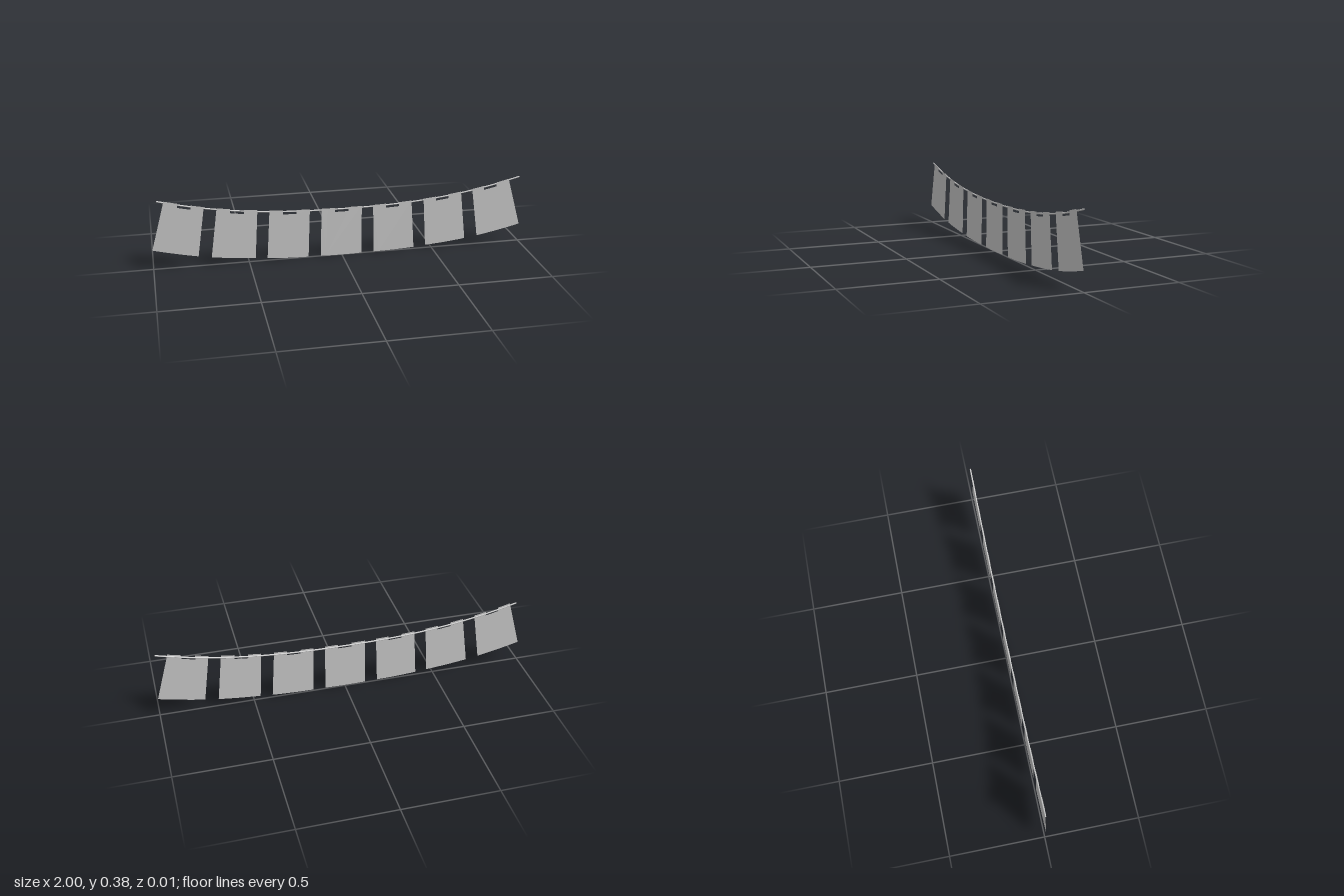
import * as THREE from 'three';

// Height of the sagging cord at x
const cordY = (x) => 0.262 + 0.111 * Math.pow(Math.abs(x - 0.01) / 0.97, 2.4);

// Flag corners: top left x, top right x, bottom left x/y, bottom right x/y
const FLAGS = [
  [-0.927, -0.725, -1.0, 0.108, -0.765, 0.055],
  [-0.66, -0.449, -0.697, 0.044, -0.466, 0.019],
  [-0.386, -0.172, -0.403, 0.013, -0.182, 0.003],
  [-0.11, 0.108, -0.115, 0.002, 0.108, 0.002],
  [0.17, 0.381, 0.175, 0.003, 0.399, 0.011],
  [0.448, 0.657, 0.464, 0.017, 0.688, 0.039],
  [0.72, 0.925, 0.758, 0.049, 1.0, 0.1],
];

// Cloth panel in front of the cord, with two tabs either side of a notch
function makeFlag([tl, tr, blx, bly, brx, bry], material) {
  const shape = new THREE.Shape();
  shape.moveTo(blx, bly);
  shape.quadraticCurveTo((blx + brx) / 2, (bly + bry) / 2 - 0.004, brx, bry);
  const top = (t, offset) => {
    const x = tl + (tr - tl) * t;
    shape.lineTo(x, cordY(x) + offset);
  };
  const tabTop = 0.009, notch = -0.014;
  for (const t of [1, 0.84, 0.67]) top(t, tabTop);
  for (const t of [0.67, 0.5, 0.33]) top(t, notch);
  for (const t of [0.33, 0.16, 0]) top(t, tabTop);
  shape.closePath();
  const flag = new THREE.Mesh(new THREE.ShapeGeometry(shape, 8), material);
  flag.position.z = 0.004;
  return flag;
}

export function createModel() {
  const group = new THREE.Group();
  group.name = 'bunting';
  const cordMaterial = new THREE.MeshStandardMaterial({ color: 0xcccccc });
  const clothMaterial = new THREE.MeshStandardMaterial({ color: 0xcccccc, side: THREE.DoubleSide });

  // Cord
  const points = [];
  for (let i = 0; i <= 16; i++) {
    const x = -0.96 + (1.945 * i) / 16;
    points.push(new THREE.Vector3(x, cordY(x), -0.001));
  }
  const curve = new THREE.CatmullRomCurve3(points);
  const cord = new THREE.Mesh(new THREE.TubeGeometry(curve, 48, 0.004, 8), cordMaterial);
  cord.name = 'cord';
  group.add(cord);

  // Cord end caps
  for (const [t, name] of [[0, 'cordEndRight'], [1, 'cordEndLeft']]) {
    const cap = new THREE.Mesh(new THREE.SphereGeometry(0.004, 8, 6), cordMaterial);
    cap.position.copy(curve.getPoint(t));
    cap.name = name;
    group.add(cap);
  }

  // Row of flags
  FLAGS.forEach((corners, i) => {
    const flag = makeFlag(corners, clothMaterial);
    flag.name = `flag${i + 1}`;
    group.add(flag);
  });
  return group;
}
